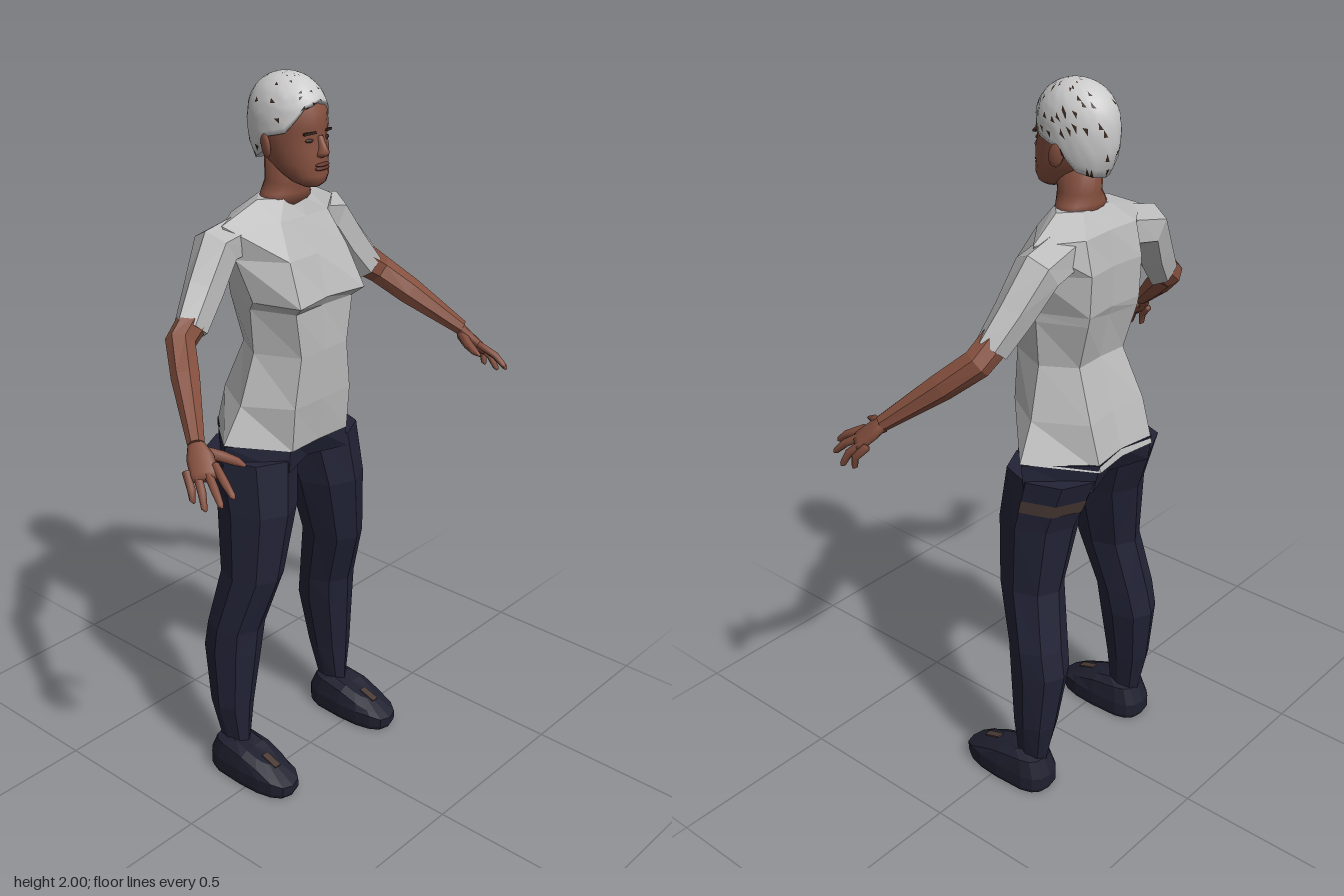
import * as THREE from 'three';

const mat = (name, color, o = {}) => Object.assign(new THREE.MeshStandardMaterial({ color, ...o }), { name });
const V = (x, y, z) => new THREE.Vector3(x, y, z);

// Skin a list of equal-length rings, cap both ends, and turn the faces outward
function loft(rings, smooth = false) {
  const n = rings[0].length, pts = rings.flat(), idx = [];
  for (let r = 0; r < rings.length - 1; r++)
    for (let i = 0; i < n; i++) {
      const a = r * n + i, b = r * n + (i + 1) % n;
      idx.push(a, b, a + n, b, b + n, a + n);
    }
  [0, rings.length - 1].forEach((r, end) => {
    const c = pts.length, mid = V(0, 0, 0);
    rings[r].forEach(p => mid.addScaledVector(p, 1 / n));
    pts.push(mid);
    for (let i = 0; i < n; i++) {
      const a = r * n + i, b = r * n + (i + 1) % n;
      if (end) idx.push(c, a, b); else idx.push(c, b, a);
    }
  });
  let vol = 0;
  for (let i = 0; i < idx.length; i += 3)
    vol += pts[idx[i]].dot(V(0, 0, 0).crossVectors(pts[idx[i + 1]], pts[idx[i + 2]]));
  if (vol < 0) idx.reverse();
  let g = new THREE.BufferGeometry().setFromPoints(pts);
  g.setIndex(idx);
  if (!smooth) g = g.toNonIndexed();
  g.computeVertexNormals();
  return g;
}

// Oval ring around c spanned by half-axes a and b
const ring = (c, a, b, n) => Array.from({ length: n }, (_, i) => {
  const t = i / n * Math.PI * 2;
  return c.clone().addScaledVector(a, Math.cos(t)).addScaledVector(b, Math.sin(t));
});

// Limb through [x, y, z, radius, depthRadius] stations, mirrored by s
function limb(stations, s, n, smooth) {
  const c = stations.map(p => V(p[0] * s, p[1], p[2]));
  return loft(stations.map((p, i) => {
    const d = c[Math.min(i + 1, c.length - 1)].clone().sub(c[Math.max(i - 1, 0)]).normalize();
    const u = V(0, 0, 1).addScaledVector(d, -d.z).normalize();
    const v = d.clone().cross(u);
    return ring(c[i], v.multiplyScalar(p[3]), u.multiplyScalar(p[4] ?? p[3]), n);
  }), smooth);
}

// Symmetric eight-point body section: front centre, front, side, back, back centre
const section = ([y, fc, fx, fz, sx, sz, bx, bz, bc, sy = y]) => [
  V(0, y, fc), V(fx, y, fz), V(sx, sy, sz), V(bx, y, bz),
  V(0, y, bc), V(-bx, y, bz), V(-sx, sy, sz), V(-fx, y, fz)];

// Leg table: y, outer x, inner x, front z, back z
const LEG = [[1.0, .24, .005, .03, -.24], [.85, .245, .036, .045, -.185], [.65, .25, .09, .03, -.16],
  [.48, .275, .115, -.025, -.19], [.4, .276, .125, -.03, -.205], [.22, .27, .158, -.045, -.18], [.09, .245, .185, -.05, -.15]];
const legRing = ([y, o, i, f, b], s, k = 1) =>
  ring(V(s * (o + i) / 2, y, (f + b) / 2), V(s * k * (o - i) / 2, 0, 0), V(0, 0, k * (f - b) / 2), 8);

export function createModel() {
  const skin = mat('skin', 0x85503f), shirt = mat('shirt grey', 0xbababa), hair = mat('silver hair', 0xcbcbcb);
  const pants = mat('trouser navy', 0x222336), shoe = mat('shoe navy', 0x1f202f), dark = mat('dark brown', 0x38271f);
  const lip = mat('lip brown', 0x64352c), worn = mat('worn patch', 0x4a3a36, { side: THREE.DoubleSide });
  const model = new THREE.Group();
  const add = (name, geo, m, parent = model) => {
    const mesh = new THREE.Mesh(geo, m);
    mesh.name = name;
    parent.add(mesh);
    return mesh;
  };

  // Shirt body
  add('shirtBody', loft([
    [1.025, .03, .11, .035, .244, -.09, .11, -.25, -.235, 1.05],
    [1.15, .045, .11, .045, .188, -.08, .11, -.215, -.2],
    [1.29, .05, .09, .05, .145, -.07, .09, -.16, -.155],
    [1.415, .045, .11, .05, .155, -.07, .1, -.195, -.18],
    [1.44, .06, .125, .08, .165, -.05, .1, -.2, -.19],
    [1.55, .025, .11, .03, .185, -.09, .1, -.205, -.195],
    [1.64, -.015, .09, -.02, .21, -.11, .1, -.185, -.18],
    [1.69, -.035, .05, -.045, .1, -.09, .05, -.135, -.14]].map(section)), shirt);

  // Seat of the trousers
  add('trouserSeat', loft([
    [.965, -.01, .12, .032, .241, -.1, .12, -.232, -.19],
    [1.045, .02, .11, .028, .24, -.09, .11, -.248, -.23]].map(section)), pants);

  for (const s of [1, -1]) {
    const side = s > 0 ? 'left' : 'right';
    add(side + 'Sleeve', limb([[.12, 1.6, -.12, .06, .06], [.215, 1.582, -.128, .062, .062],
      [.28, 1.49, -.11, .058, .05], [.345, 1.41, -.092, .052, .04]], s, 6), shirt);
    add(side + 'Forearm', limb([[.33, 1.43, -.095, .046, .036], [.388, 1.388, -.085, .042, .038],
      [.44, 1.325, -.015, .04, .036], [.53, 1.218, .108, .022, .022]], s, 7), skin);

    // Hand: flat palm, four fingers and a thumb
    const hand = new THREE.Group();
    hand.name = side + 'Hand';
    model.add(hand);
    add('palm', loft([[.526, 1.224, .1, .018], [.54, 1.195, .13, .034], [.556, 1.165, .16, .036], [.56, 1.155, .17, .033]].map(
      ([x, y, z, w]) => ring(V(s * x, y, z), V(s * .62, -.25, -.74).multiplyScalar(w),
        V(s * .6, .75, .3).multiplyScalar(.014), 8)), true), skin, hand);
    [[.55, 1.128, .253], [.577, 1.11, .24], [.592, 1.093, .2], [.59, 1.1, .158]].forEach(([x, y, z], i) => {
      const kx = .536 + i * .015, ky = 1.172 - i * .006, kz = .19 - i * .017;
      add('finger', limb([[kx - .005, ky + .012, kz - .02, .011], [(kx + x) / 2 + .004, (ky + y) / 2 + .006, (kz + z) / 2, .0105],
        [x, y + .006, z - .006, .008], [x, y, z, .003]], s, 6, true), skin, hand);
    });
    add('thumb', limb([[.525, 1.2, .115, .016], [.495, 1.19, .16, .014], [.48, 1.182, .195, .011], [.475, 1.176, .218, .004]], s, 6, true), skin, hand);

    // Leg and shoe
    add(side + 'Leg', loft(LEG.map(r => legRing(r, s))), pants);
    const outline = (k, top) => Array.from({ length: 16 }, (_, i) => {
      const t = i / 16 * Math.PI * 2, c = Math.cos(t), n = Math.sin(t);
      const e = n < 0 ? .5 : .85;
      const z = -.02 + k * .15 * Math.sign(n) * Math.abs(n) ** e;
      return V(s * (.22 + .067 * k * Math.sign(c) * Math.abs(c) ** .75), top(z), z);
    });
    const slope = z => z < -.05 ? .1 : .1 - (z + .05) * .33;
    add(side + 'Shoe', loft([outline(.96, () => 0), outline(1, () => .012), outline(1, z => Math.min(.05, slope(z) - .005)),
      outline(.86, slope), outline(.5, z => slope(z) + .012)]), shoe);
    const mark = add(side + 'ShoePatch', new THREE.BoxGeometry(.022, .004, .055), worn);
    mark.position.set(s * .22, .083, .045);
    mark.rotation.x = .32;
  }

  // Worn strip around the outside of the left hip
  const at = y => LEG[0].map((v, i) => THREE.MathUtils.lerp(v, LEG[1][i], (1 - y) / .15));
  const top = legRing(at(.942), 1, 1.02), low = legRing(at(.905), 1, 1.02);
  const strip = new THREE.BufferGeometry().setFromPoints([1, 0, 7, 6].flatMap(i => [top[i], low[i]]));
  strip.setIndex([2, 3, 4, 3, 5, 4, 4, 5, 6, 5, 7, 6]);
  strip.computeVertexNormals();
  add('hipPatch', strip, worn);

  // Neck and head
  const oval = ([y, f, b, w]) => ring(V(0, y, (f + b) / 2), V(w, 0, 0), V(0, 0, (f - b) / 2), 20);
  add('neck', loft([[1.67, -.03, -.145, .085], [1.7, -.03, -.142, .072], [1.725, -.025, -.14, .054], [1.8, -.01, -.145, .052]].map(oval), true), skin);
  add('head', loft([[1.724, .025, -.02, .022], [1.735, .04, -.05, .042], [1.755, .045, -.085, .058], [1.785, .041, -.125, .07],
    [1.82, .042, -.15, .076], [1.85, .034, -.165, .079], [1.875, .04, -.17, .08], [1.91, .036, -.17, .079],
    [1.94, .021, -.16, .073], [1.97, -.02, -.13, .05]].map(oval), true), skin);
  add('nose', loft([[1.855, .04, .02, .008], [1.83, .053, .02, .01], [1.815, .061, .02, .016], [1.806, .054, .02, .018], [1.8, .042, .02, .01]].map(oval), true), skin);
  for (const [name, y, z, h] of [['upperLip', 1.783, .043, .005], ['lowerLip', 1.774, .042, .006]])
    add(name, new THREE.SphereGeometry(1, 12, 8).scale(.026, h, .009).translate(0, y, z - .002), lip);
  for (const s of [1, -1]) {
    const eye = add('eye', new THREE.SphereGeometry(1, 10, 6).scale(.013, .005, .004), dark);
    eye.position.set(s * .032, 1.845, .026);
    eye.rotation.y = s * .3;
    const brow = add('brow', new THREE.BoxGeometry(.034, .006, .008), dark);
    brow.position.set(s * .034, 1.864, .029);
    brow.rotation.set(0, s * .35, s * -.08);
    const ear = add('ear', new THREE.SphereGeometry(1, 10, 8).scale(.009, .032, .02), skin);
    ear.position.set(s * .083, 1.828, -.075);
    ear.rotation.set(-.2, s * .3, 0);
  }

  // Cropped hair rising from the hairline, with a few dark flecks
  const hairline = [1.938, 1.925, 1.865, 1.85, 1.79, 1.775, 1.77];
  const COLS = 48, ROWS = 16, rows = [];
  let seed = 7;
  const rand = () => (seed = seed * 16807 % 2147483647) / 2147483647;
  for (let r = 0; r <= ROWS; r++)
    rows.push(Array.from({ length: COLS }, (_, i) => {
      const t = i / COLS * Math.PI * 2, h = Math.min(i, COLS - i) / (COLS / 2) * 6, k = Math.min(5, Math.floor(h));
      const y0 = THREE.MathUtils.lerp(hairline[k], hairline[k + 1], h - k);
      const y = y0 + (1.998 - y0) * Math.sin(r / ROWS * Math.PI / 2);
      const q = y > 1.87 ? Math.sqrt(Math.max(0, 1 - ((y - 1.87) / .13) ** 2.6)) : 1 - .25 * ((1.87 - y) / .1) ** 2;
      const bump = q * (1 + (rand() - .5) * .025);
      return V(Math.sin(t) * .088 * bump, y, -.075 + Math.cos(t) * .116 * bump);
    }));
  const cap = loft(rows, true), plain = [], flecks = [], index = cap.index.array;
  for (let i = 0; i < index.length; i += 3)
    (rand() < .035 ? flecks : plain).push(index[i], index[i + 1], index[i + 2]);
  cap.setIndex([...plain, ...flecks]);
  cap.addGroup(0, plain.length, 0);
  cap.addGroup(plain.length, flecks.length, 1);
  add('hair', cap, [hair, dark]);
  return model;
}
